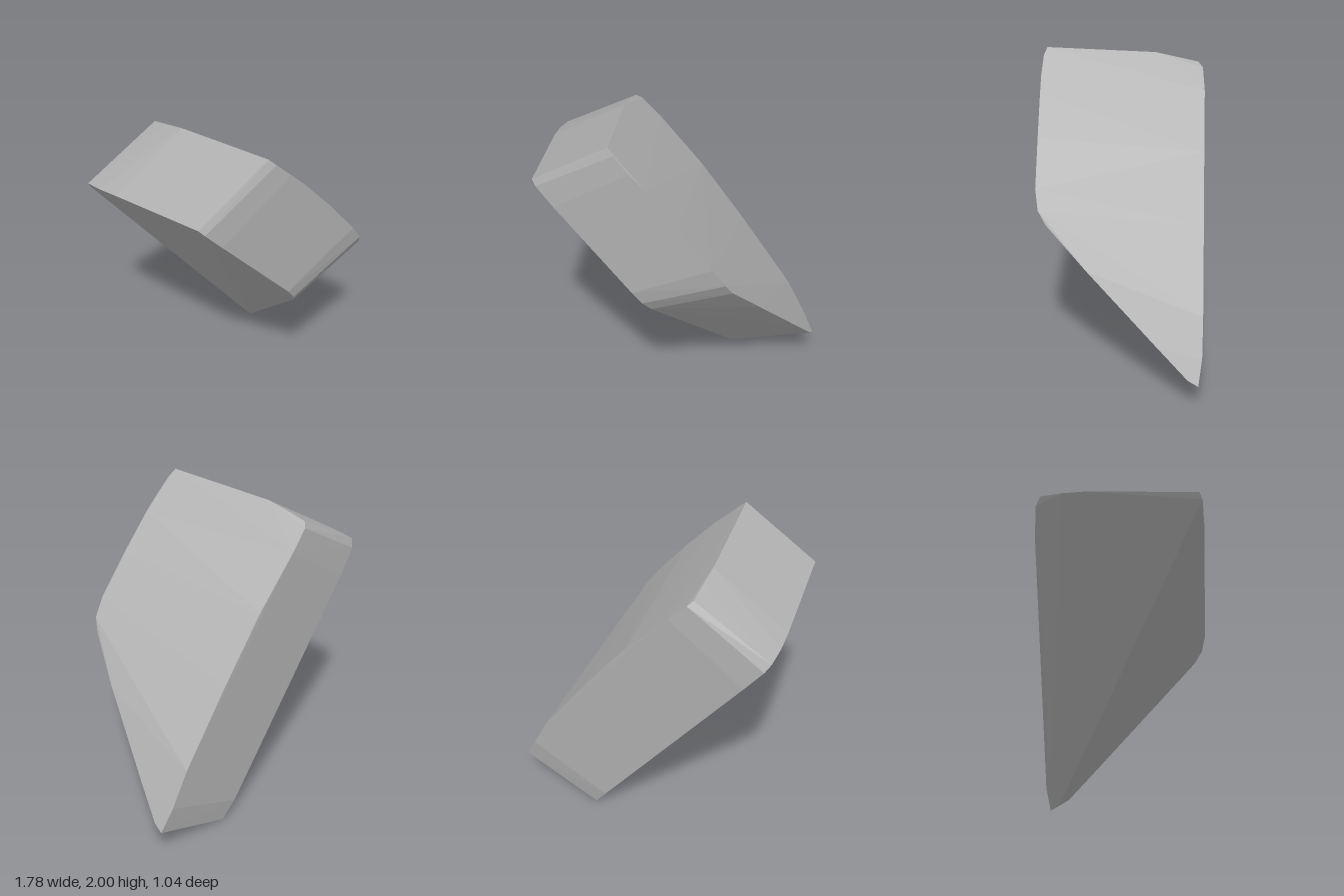
import * as THREE from 'three';
import { ConvexGeometry } from 'three/addons/geometries/ConvexGeometry.js';

const grey = new THREE.MeshStandardMaterial({ color: 0xb0b0b0 });
grey.name = 'stone grey';

export function createModel() {
  const group = new THREE.Group();
  group.name = 'curvedBlock';

  // Rounded outline of the block: [inner x, inner y, outer x, outer y, z]
  const outline = [
    // front upper corner
    [-0.73, 1.71, -0.24, 2.0, 0.49],
    [-0.70, 1.675, -0.20, 1.96, 0.51],
    [-0.59, 1.555, -0.10, 1.86, 0.52],
    // front lower corner
    [-0.10, 1.02, 0.41, 1.29, 0.52],
    [-0.04, 0.94, 0.49, 1.18, 0.50],
    [0.0, 0.87, 0.525, 1.10, 0.45],
    // bottom tip
    [0.32, 0.045, 0.88, 0.235, -0.43],
    [0.34, 0.0, 0.89, 0.2, -0.495],
    [0.25, 0.12, 0.81, 0.35, -0.517],
    // back upper corner
    [-0.74, 1.395, -0.24, 1.72, -0.522],
    [-0.86, 1.55, -0.36, 1.84, -0.51],
    [-0.89, 1.60, -0.39, 1.87, -0.48],
    [-0.886, 1.622, -0.388, 1.90, -0.35],
    [-0.865, 1.645, -0.37, 1.937, -0.20],
  ];

  // Bulge of the outer face along the front, sloping and back edges
  const bulge = [
    [0.0, 1.765, 0.52], [0.2, 1.545, 0.52],
    [0.64, 0.85, 0.2], [0.81, 0.42, -0.24],
    [0.69, 0.57, -0.52], [0.35, 1.03, -0.52], [0.05, 1.41, -0.52],
  ];

  const points = bulge.map((p) => new THREE.Vector3(...p));
  for (const [ix, iy, ox, oy, z] of outline) {
    points.push(new THREE.Vector3(ix, iy, z), new THREE.Vector3(ox, oy, z));
  }

  const block = new THREE.Mesh(new ConvexGeometry(points), grey);
  block.name = 'block';
  group.add(block);
  return group;
}
